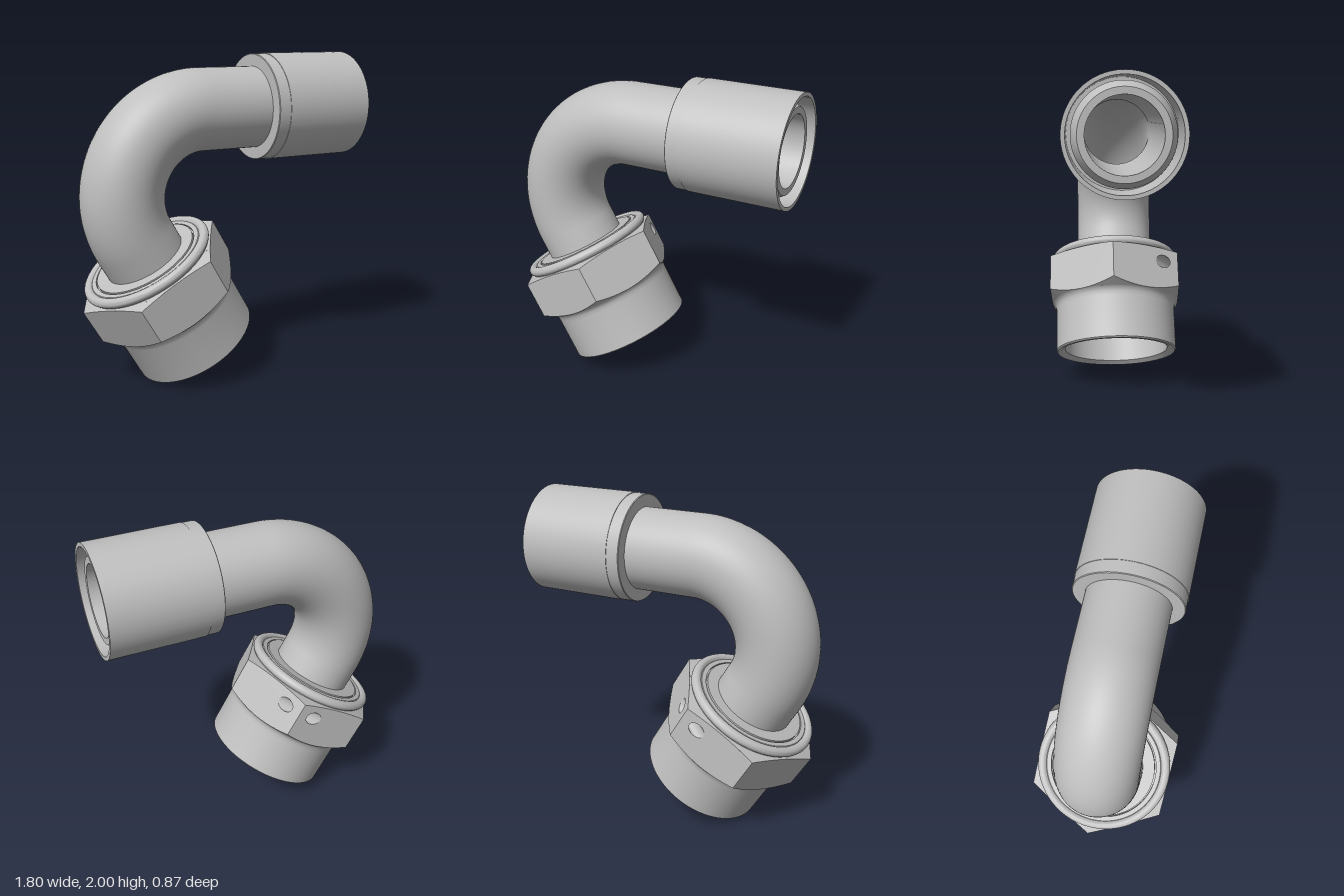
import * as THREE from 'three';
import { toCreasedNormals } from 'three/addons/utils/BufferGeometryUtils.js';

const RAD = Math.PI / 180;
const PIPE_Y = 1.667;
const BEND = { x: -0.135, y: 1.155, r: 0.512 };
const APOTHEM = 0.424, HALF = APOTHEM * Math.tan(30 * RAD), TWIST = 3;

// Chamfer heights of the hexagon at a given distance from its axis
const lowEdge = (r) => 0.335 + (r - APOTHEM) * 0.6;
const topEdge = (r) => 0.621 - (r - APOTHEM) * 0.22;

// Centre line: straight run, 120 degree bend, straight run into the nut
class PipePath extends THREE.Curve {
  getPoint(t, target = new THREE.Vector3()) {
    const run = 0.8 - BEND.x, arc = BEND.r * 120 * RAD, tail = 0.35;
    const d = t * (run + arc + tail);
    if (d < run) return target.set(0.8 - d, PIPE_Y, 0);
    const a = 90 * RAD + Math.min(d - run, arc) / BEND.r;
    const rest = Math.max(0, d - run - arc);
    return target.set(
      BEND.x + BEND.r * Math.cos(a) + rest * 0.5,
      BEND.y + BEND.r * Math.sin(a) - rest * 0.866, 0);
  }
}

function lathe(points) {
  const g = new THREE.LatheGeometry(points.map(([r, y]) => new THREE.Vector2(r, y)), 96);
  return toCreasedNormals(g, 32 * RAD);
}

// Surface between two equally long loops of points
function loft(loopA, loopB) {
  const n = loopA.length, index = [];
  for (let i = 0; i < n; i++) {
    const j = (i + 1) % n;
    index.push(i, j, n + i, j, n + j, n + i);
  }
  const g = new THREE.BufferGeometry().setFromPoints([...loopA, ...loopB]);
  g.setIndex(index);
  g.computeVertexNormals();
  return g;
}

// Point on a hexagon side: s along the side, h up the axis
function onSide(k, s, h) {
  return new THREE.Vector3(s, h, APOTHEM)
    .applyAxisAngle(new THREE.Vector3(0, 1, 0), Math.PI / 2 - (TWIST + 30 + 60 * k) * RAD);
}

function ellipse(s, steps, flip) {
  return Array.from({ length: steps }, (_, i) => {
    const a = i / steps * Math.PI * 2;
    return new THREE.Vector2(s + flip * 0.054 * Math.cos(a), 0.527 + 0.043 * Math.sin(a));
  });
}

function hexSide(k, holeAt) {
  const low = [], top = [];
  for (let i = 0; i <= 16; i++) {
    const s = HALF * (i / 8 - 1), r = Math.hypot(s, APOTHEM);
    low.push(new THREE.Vector2(s, lowEdge(r)));
    top.unshift(new THREE.Vector2(s, topEdge(r)));
  }
  const shape = new THREE.Shape([...low, ...top]);
  if (holeAt) shape.holes.push(new THREE.Path(ellipse(holeAt, 32, 1)));
  const g = new THREE.ShapeGeometry(shape);
  g.translate(0, 0, APOTHEM);
  g.rotateY(Math.PI / 2 - (TWIST + 30 + 60 * k) * RAD);
  return g;
}

// Conical chamfer from the inscribed circle out to the hexagon outline
function chamfer(edge, up) {
  const inner = [], outer = [];
  for (let i = 0; i < 96; i++) {
    const a = i * 3.75, off = ((a % 60) - 30) * RAD;
    const r = APOTHEM / Math.cos(off), t = (a + TWIST) * RAD;
    inner.push(new THREE.Vector3(APOTHEM * Math.cos(t), edge(APOTHEM), APOTHEM * Math.sin(t)));
    outer.push(new THREE.Vector3(r * Math.cos(t), edge(r), r * Math.sin(t)));
  }
  return up ? loft(outer, inner) : loft(inner, outer);
}

export function createModel() {
  const model = new THREE.Group();
  model.name = 'elbowFitting';
  const metal = new THREE.MeshStandardMaterial({ color: 0xbfbfbf, side: THREE.DoubleSide });
  metal.name = 'grey metal';
  const add = (parent, name, geometry) => {
    const mesh = new THREE.Mesh(geometry, metal);
    mesh.name = name;
    parent.add(mesh);
    return mesh;
  };

  // Bent pipe with its bore
  const path = new PipePath();
  add(model, 'bentPipe', new THREE.TubeGeometry(path, 120, 0.253, 64));
  add(model, 'pipeBore', new THREE.TubeGeometry(path, 120, 0.21, 64));

  // Sleeve on the straight end, with the tapered pipe mouth inside it
  const sleeve = add(model, 'sleeve', lathe([
    [0.25, 0.24], [0.326, 0.24], [0.33, 0.244], [0.33, 0.32], [0.3335, 0.32], [0.3335, 0.9],
    [0.31, 0.9], [0.31, 0.6], [0.285, 0.6], [0.285, 0.8], [0.25, 0.87], [0.21, 0.87], [0.21, 0.78],
  ]));
  sleeve.rotation.z = -Math.PI / 2;
  sleeve.position.y = PIPE_Y;

  // Tilted nut, standing on its open end
  const nut = new THREE.Group();
  nut.name = 'nut';
  nut.rotation.z = 30 * RAD;
  nut.position.set(-0.176, 0.2, 0);
  model.add(nut);

  add(nut, 'nutSkirt', lathe([
    [0.21, 0.5], [0.3, 0.36], [0.315, 0.335], [0.34, 0.33], [0.34, 0.02], [0.37, 0],
    [0.39, 0], [0.398, 0.008], [0.398, 0.28], [0.401, 0.305], [0.41, 0.325], [0.424, 0.335],
  ]));

  // Rounded bead, flat top and the groove around the collar
  const cap = [[APOTHEM, 0.621], [0.41, 0.624]];
  for (let a = -60; a <= 150; a += 15) {
    cap.push([0.395 + 0.03 * Math.cos(a * RAD), 0.653 + 0.03 * Math.sin(a * RAD)]);
  }
  cap.push([0.365, 0.672], [0.337, 0.672], [0.337, 0.655], [0.328, 0.655], [0.328, 0.676], [0.25, 0.676]);
  add(nut, 'nutCap', lathe(cap));

  // Hexagon sides; the wire hole cuts across the corner between sides 4 and 5
  const holes = { 4: -0.13, 5: 0.13 };
  for (let k = 0; k < 6; k++) add(nut, 'hexSide', hexSide(k, holes[k]));
  add(nut, 'lowerChamfer', chamfer(lowEdge, false));
  add(nut, 'upperChamfer', chamfer(topEdge, true));
  add(nut, 'wireHole', loft(
    ellipse(holes[5], 32, 1).map((p) => onSide(5, p.x, p.y)),
    ellipse(holes[4], 32, -1).map((p) => onSide(4, p.x, p.y))));

  return model;
}
